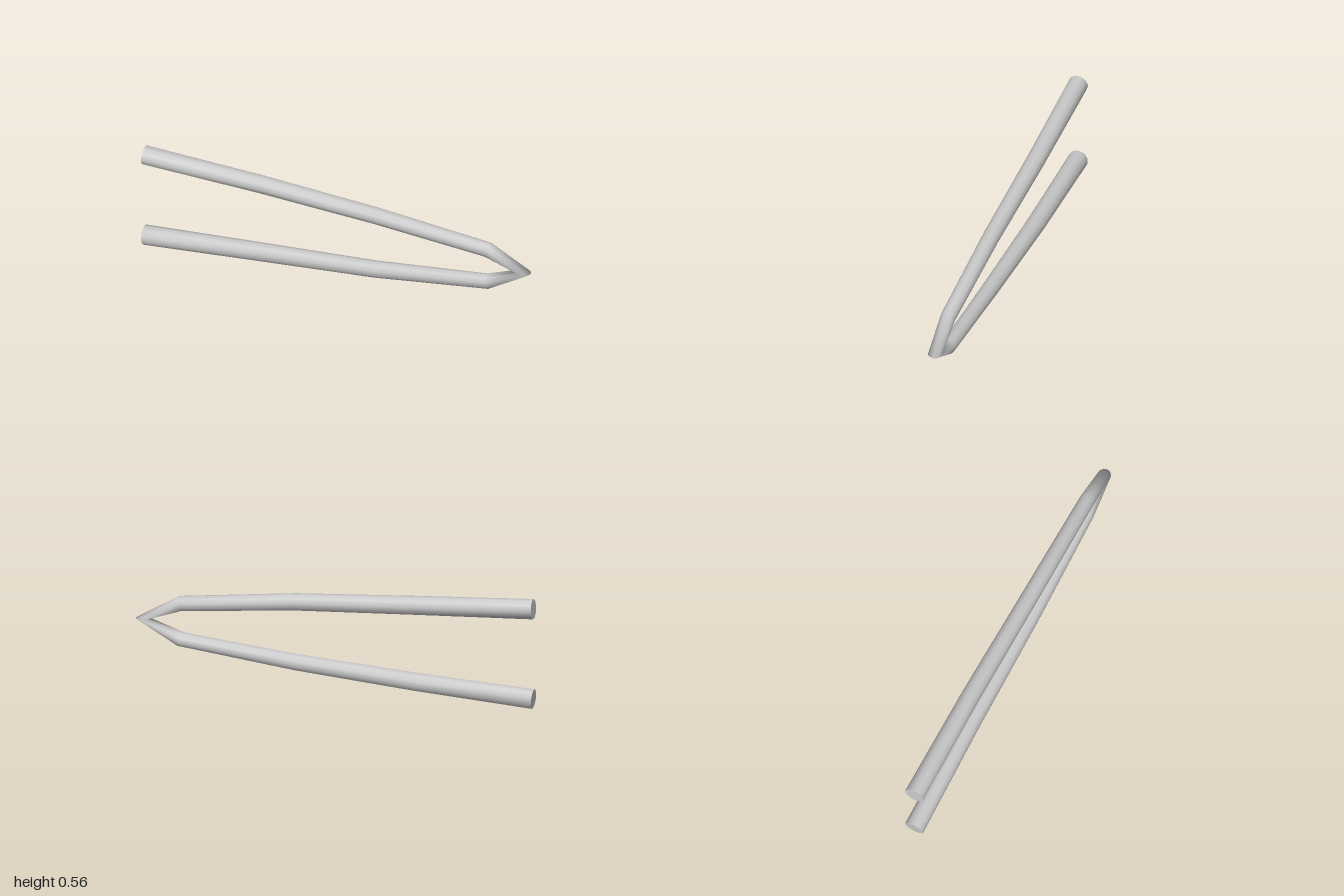
import * as THREE from 'three';

const SIDES = 10;
const MID_Y = 0.285;

// Upper arm centreline and radius, from the open end to the pointed bend
const ARM = [
  [-0.99, 0.518, 0.15, 0.05],
  [-0.4, 0.483, 0.05, 0.0465],
  [0.2, 0.441, -0.04, 0.0425],
  [0.778, 0.377, -0.133, 0.038],
  [0.965, MID_Y, -0.166, 0.034],
];

// Rings of points square to the averaged direction of the path
function makeRings(path) {
  const pts = path.map(([x, y, z]) => new THREE.Vector3(x, y, z));
  const dirs = pts.slice(1).map((p, i) => p.clone().sub(pts[i]).normalize());
  return pts.map((p, i) => {
    const t = new THREE.Vector3();
    if (i > 0) t.add(dirs[i - 1]);
    if (i < dirs.length) t.add(dirs[i]);
    t.normalize();
    const u = new THREE.Vector3(0, 0, 1).addScaledVector(t, -t.z).normalize();
    const v = t.clone().cross(u);
    const twist = (Math.PI / SIDES) * (i / (pts.length - 1));
    const ring = [];
    for (let j = 0; j < SIDES; j++) {
      const a = (j / SIDES) * Math.PI * 2 + twist;
      ring.push(p.clone()
        .addScaledVector(u, Math.cos(a) * path[i][3])
        .addScaledVector(v, Math.sin(a) * path[i][3]));
    }
    return ring;
  });
}

function sweepGeometry(rings) {
  const index = [];
  for (let i = 0; i < rings.length - 1; i++) {
    for (let j = 0; j < SIDES; j++) {
      const k = (j + 1) % SIDES;
      const a = i * SIDES + j, b = i * SIDES + k;
      index.push(a, b, a + SIDES, b, b + SIDES, a + SIDES);
    }
  }
  const g = new THREE.BufferGeometry().setFromPoints(rings.flat());
  g.setIndex(index);
  g.computeVertexNormals();
  return g;
}

// Flat end disc; flip it for the start of the sweep
function capGeometry(ring, flip) {
  const index = [];
  for (let j = 1; j < SIDES - 1; j++) {
    if (flip) index.push(0, j + 1, j);
    else index.push(0, j, j + 1);
  }
  const g = new THREE.BufferGeometry().setFromPoints(ring);
  g.setIndex(index);
  g.computeVertexNormals();
  return g;
}

export function createModel() {
  const group = new THREE.Group();
  group.name = 'bentRod';
  const grey = new THREE.MeshStandardMaterial({ color: 0xc8c8c8 });
  grey.name = 'light grey';

  // Mirror the upper arm about the bend to get the lower arm
  const lower = ARM.slice(0, -1).reverse().map(([x, y, z, r]) => [x, 2 * MID_Y - y, z, r]);
  const rings = makeRings([...ARM, ...lower]);

  const add = (name, geometry) => {
    const mesh = new THREE.Mesh(geometry, grey);
    mesh.name = name;
    group.add(mesh);
  };
  add('rod', sweepGeometry(rings));
  add('upperEndCap', capGeometry(rings[0], true));
  add('lowerEndCap', capGeometry(rings[rings.length - 1], false));
  return group;
}
